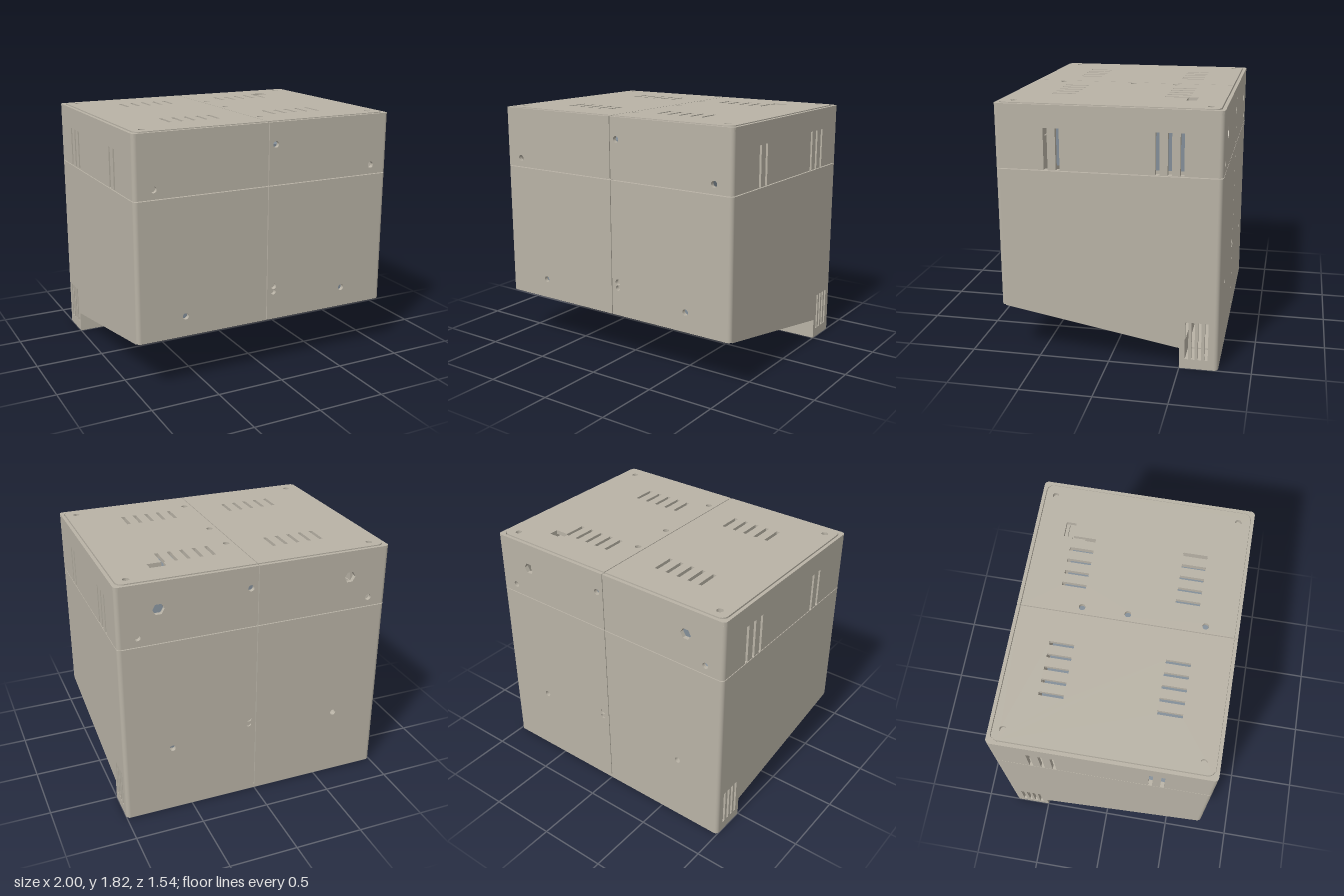
import * as THREE from 'three';

const W = 1, D = 0.77, T = 0.03, GAP = 0.003, SEAM = 1.37, TOP = 1.82;
const SLOPE = 0.177, RISE = 0.2387; // underside height = SLOPE * z + RISE

export function createModel() {
  const model = new THREE.Group();
  const beige = new THREE.MeshStandardMaterial({ color: 0xb9b3a6 });
  beige.name = 'warm grey shell';
  const blue = new THREE.MeshStandardMaterial({ color: 0x838e98 });
  blue.name = 'blue grey equipment';

  const add = (name, geo, mat = beige) => {
    const mesh = new THREE.Mesh(geo, mat);
    mesh.name = name;
    model.add(mesh);
    return mesh;
  };
  // box given by its limits
  const box = (name, x0, x1, y0, y1, z0, z1, mat) =>
    add(name, new THREE.BoxGeometry(x1 - x0, y1 - y0, z1 - z0), mat)
      .position.set((x0 + x1) / 2, (y0 + y1) / 2, (z0 + z1) / 2);

  // hole outlines
  const rect = (x0, x1, y0, y1) => [[x0, y0], [x1, y0], [x1, y1], [x0, y1]];
  const slot = (x, y, w, h) => ({ x, pts: rect(x - w / 2, x + w / 2, y - h / 2, y + h / 2) });
  const round = (x, y, r = 0.023, n = 16) => ({
    x,
    pts: Array.from({ length: n }, (_, i) => {
      const a = (i / n) * Math.PI * 2;
      return [x + r * Math.cos(a), y + r * Math.sin(a)];
    }),
  });
  const vecs = (pts) => pts.map((p) => new THREE.Vector2(...p));
  const plate = (pts, holes = [], depth = T) => {
    const shape = new THREE.Shape(vecs(pts));
    holes.forEach((h) => shape.holes.push(new THREE.Path(vecs(h.pts))));
    return new THREE.ExtrudeGeometry(shape, { depth, bevelEnabled: false });
  };
  const onSide = (holes, s) => holes.filter((h) => Math.sign(h.x) === s);

  // half of a rounded rectangle, open at the centre seam
  const halfRound = (s, w, d, r) => {
    const pts = [[s * GAP, -d]];
    for (const [cy, a0] of [[-d + r, -Math.PI / 2], [d - r, 0]])
      for (let i = 0; i <= 5; i++) {
        const a = a0 + (i / 5) * Math.PI / 2;
        pts.push([s * (w - r + r * Math.cos(a)), cy + r * Math.sin(a)]);
      }
    return [...pts, [s * GAP, d]];
  };
  const fullRound = (w, d, r) => [...halfRound(1, w, d, r), ...halfRound(-1, w, d, r).reverse()];
  // lay a plate flat (shape y becomes z) with its top at the given height
  const flat = (geo, top) => geo.rotateX(Math.PI / 2).translate(0, top, 0);
  // tilt a flat part to follow the sloping underside
  const tilt = (geo) => {
    const p = geo.attributes.position;
    for (let i = 0; i < p.count; i++) p.setY(i, p.getY(i) + SLOPE * p.getZ(i) + RISE);
    geo.computeVertexNormals();
    return geo;
  };

  // front and back walls, in halves, below and above the seam
  const screwHoles = [
    round(0.055, 1.66), round(0.86, 1.44), round(-0.86, 1.44), round(0.64, 0.52),
    round(-0.64, 0.52), round(0.055, 0.625, 0.022), round(0.055, 0.582, 0.02),
  ];
  const cableHoles = [round(0.71, 1.62, 0.042, 6), round(-0.7, 1.62, 0.042, 6)];
  const wallTop = TOP - 0.005 - T;
  for (const [name, z, bottom, holes] of [
    ['front', D - T, 0.375, screwHoles],
    ['back', -D, 0, [...screwHoles, ...cableHoles]],
  ])
    for (const s of [-1, 1])
      for (const [part, y0, y1] of [['Lower', bottom, SEAM - GAP], ['Upper', SEAM + GAP, wallTop]]) {
        const cut = onSide(holes, s).filter((h) => h.pts[0][1] > y0 && h.pts[0][1] < y1);
        add(name + part + 'Wall', plate(rect(s * GAP, s * (W - T), y0, y1), cut).translate(0, 0, z));
      }

  // side walls with vents, drawn in (z, y)
  const lowerSide = [
    [-D + T, 0], [-0.5, 0], [-0.5, 0.15], [D - T, SLOPE * (D - T) + RISE],
    [D - T, SEAM - GAP], [-D + T, SEAM - GAP],
  ];
  const footVents = [-0.55, -0.595, -0.64, -0.687].map((z) => slot(z, 0.208, 0.024, 0.275));
  const sideVents = [0.418, 0.335, -0.338, -0.42, -0.502].map((z) => slot(z, 1.518, 0.027, 0.285));
  for (const x of [W, -W + T]) {
    add('lowerSideWall', plate(lowerSide, footVents).rotateY(-Math.PI / 2).translate(x, 0, 0));
    add('upperSideWall', plate(rect(-D + T, D - T, SEAM + GAP, wallTop), sideVents)
      .rotateY(-Math.PI / 2).translate(x, 0, 0));
  }

  // rounded corner posts
  for (const x of [-1, 1])
    for (const z of [-1, 1])
      for (const [y0, y1] of [[z > 0 ? 0.375 : 0, SEAM - GAP], [SEAM + GAP, wallTop]])
        add('cornerPost', new THREE.CylinderGeometry(T, T, y1 - y0, 24))
          .position.set(x * (W - T), (y0 + y1) / 2, z * (D - T));

  // top rim and inset lid with vents, screw holes and a notch
  const lidHoles = [round(0.055, -0.32), round(0.055, 0), round(0.055, 0.54)];
  for (const x of [-0.89, 0.89])
    for (const z of [-0.67, 0.66]) {
      lidHoles.push(round(x, z));
      add('screwSeat', new THREE.CylinderGeometry(0.05, 0.05, 0.02, 16)).position.set(x, TOP - 0.042, z);
    }
  for (const x of [-0.607, -0.516, -0.425, -0.334, -0.243, 0.21, 0.302, 0.393, 0.484, 0.575]) {
    lidHoles.push(slot(x, 0.395, 0.026, 0.17));
    if (x !== 0.575) lidHoles.push(slot(x, -0.405, 0.026, 0.17));
  }
  lidHoles.push({
    x: 0.6,
    pts: [[0.562, -0.32], [0.588, -0.32], [0.588, -0.48], [0.69, -0.48],
      [0.69, -0.55], [0.575, -0.55], [0.575, -0.49], [0.562, -0.49]],
  });
  for (const s of [-1, 1]) {
    const rim = [...halfRound(s, W, D, T), ...halfRound(s, 0.976, 0.746, 0.05).reverse()];
    add('topRim', flat(plate(rim), TOP - 0.005));
    add('lid', flat(plate(halfRound(s, 0.97, 0.74, 0.045), onSide(lidHoles, s)), TOP));
  }
  box('notchFloor', 0.55, 0.71, 1.74, 1.755, -0.57, -0.4);
  box('notchStep', 0.57, 0.7, 1.755, 1.775, -0.555, -0.53);

  // strips backing the seams
  for (const s of [-1, 1]) {
    const z = s * (D - T - 0.005), x = s * (W - T - 0.005);
    box('seamStrip', -0.96, 0.96, 1.355, 1.375, z - 0.005, z + 0.005);
    box('seamStrip', x - 0.005, x + 0.005, 1.355, 1.375, -0.735, 0.735);
    box('seamStrip', -0.02, 0.02, s > 0 ? 0.42 : 0.03, 1.78, z - 0.005, z + 0.005);
    box('boltBlock', 0.02, 0.1, 0.54, 0.67, z - 0.025, z + 0.004);
  }
  box('lidSeamStrip', -0.02, 0.02, 1.78, 1.79, -0.73, 0.73);

  // sloping underside around the window
  const wx = 0.83, z0 = -0.37, z1 = 0.61;
  for (const s of [-1, 1]) {
    const outline = [
      [s * GAP, -0.5], [s * 0.97, -0.5], [s * 0.97, 0.769], [s * GAP, 0.769],
      [s * GAP, z1], [s * wx, z1], [s * wx, z0], [s * GAP, z0],
    ];
    const holes = [round(0.055, -0.44), round(0.055, 0.68)];
    add('underside', tilt(flat(plate(outline, onSide(holes, s)), T)));
  }

  // window bezel, narrowing inward to the display
  const bezel = flat(plate(fullRound(wx, 0.49, 0.01), [{ x: 0, pts: fullRound(0.79, 0.45, 0.035) }], 0.09), 0.09);
  const bp = bezel.attributes.position;
  for (let i = 0; i < bp.count; i++) {
    const f = 1 - 0.3 * bp.getY(i);
    bp.setX(i, bp.getX(i) * f);
    bp.setZ(i, bp.getZ(i) * f + 0.12);
  }
  add('windowBezel', tilt(bezel));
  add('display', tilt(flat(plate(rect(-0.83, 0.83, -0.4, 0.62), [], 0.08), 0.17)), blue);

  // rear foot with a cable slot and a round cover
  for (const s of [-1, 1])
    add('footFront', plate(rect(s * GAP, s * 0.97, 0, 0.17)).translate(0, 0, -0.5 - T));
  const footHoles = [slot(0.32, -0.62, 0.8, 0.036), round(-0.61, -0.63, 0.083, 32)];
  add('footBottom', flat(plate(rect(-0.97, 0.97, -D + 0.001, -0.5), footHoles), T));
  add('footCover', new THREE.CylinderGeometry(0.078, 0.078, T, 32)).position.set(-0.61, T / 2, -0.63);
  box('footLiner', -0.75, 0.75, T, 0.04, -0.73, -0.53);

  // equipment inside
  box('equipmentBox', -0.59, 0.59, 1.3, 1.6, -0.5, 0.48, blue);
  box('equipmentBlock', 0, 0.12, 1.6, 1.7, -0.06, 0.06, blue);
  return model;
}
